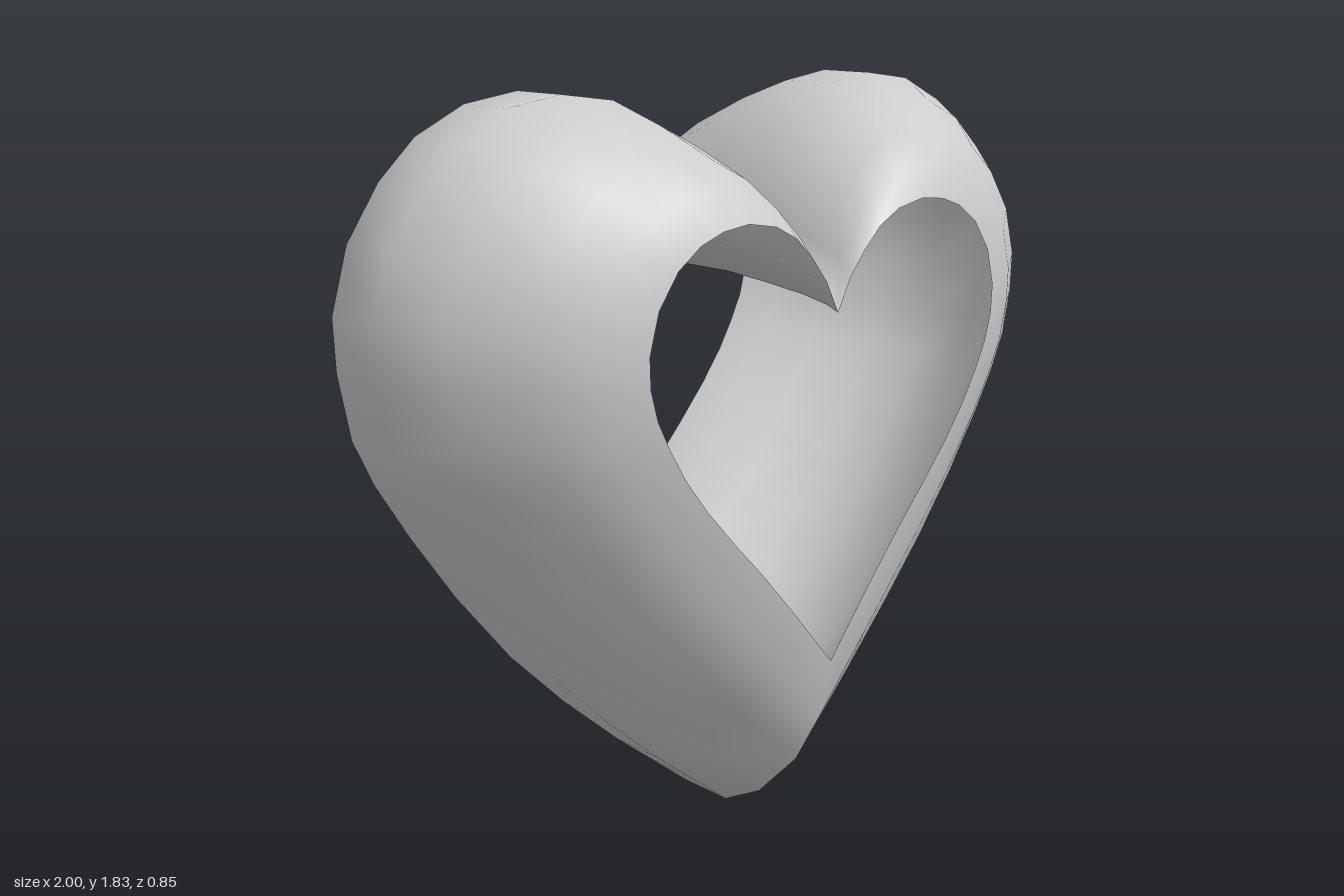
import * as THREE from 'three';

// Right half of the heart, from bottom tip to top cusp: [x, y]
const OUTER = [[0, 0], [.24, .2], [.41, .355], [.57, .52], [.72, .71], [.835, .88], [.92, 1.02],
  [.97, 1.13], [.997, 1.28], [1, 1.4], [.955, 1.545], [.87, 1.665], [.775, 1.75], [.645, 1.81],
  [.5, 1.83], [.355, 1.81], [.23, 1.75], [.13, 1.655], [.055, 1.54], [0, 1.39]];
const INNER = [[0, .495], [.13, .65], [.235, .77], [.325, .865], [.41, .96], [.475, 1.045], [.52, 1.12],
  [.555, 1.19], [.574, 1.26], [.576, 1.33], [.55, 1.42], [.495, 1.495], [.43, 1.54], [.365, 1.562],
  [.29, 1.57], [.205, 1.555], [.14, 1.522], [.085, 1.47], [.04, 1.415], [0, 1.34]];

// Mirror a half outline into a closed counter-clockwise loop
function closeLoop(half) {
  const left = half.slice(1, -1).reverse().map(([x, y]) => [-x, y]);
  return [...half, ...left];
}

// Skin a list of closed rings with shared vertices, so the normals are smooth
function loft(rings) {
  const n = rings[0].length;
  const index = [];
  for (let i = 0; i < rings.length - 1; i++) {
    for (let j = 0; j < n; j++) {
      const a = i * n + j, b = i * n + (j + 1) % n;
      index.push(a, a + n, b, b, a + n, b + n);
    }
  }
  const geometry = new THREE.BufferGeometry();
  geometry.setAttribute('position', new THREE.Float32BufferAttribute(rings.flat(2), 3));
  geometry.setIndex(index);
  geometry.computeVertexNormals();
  return geometry;
}

export function createModel() {
  const group = new THREE.Group();
  group.name = 'openHeart';
  const material = new THREE.MeshStandardMaterial({ color: 0xcccccc, side: THREE.DoubleSide });
  const outer = closeLoop(OUTER), inner = closeLoop(INNER);

  // Rounded section: [depth, share of the way from the opening to the rim]
  const front = [[.427, 0], [.392, .27], [.32, .54], [.195, .81], [.075, 1]];
  const section = [...front, ...front.map(([z, f]) => [-z, f]).reverse()];
  const rings = section.map(([z, f]) => outer.map(([ox, oy], j) => {
    const [ix, iy] = inner[j];
    // The section is a little fuller near the bottom tip
    const t = f > 0 && f < 1 ? f + .055 * Math.max(0, 1 - oy / .6) : f;
    return [ix + (ox - ix) * t, iy + (oy - iy) * t, z];
  }));

  // Thin hollow shell, open at the front and back
  const shell = new THREE.Mesh(loft(rings), material);
  shell.name = 'heartShell';
  group.add(shell);
  return group;
}
